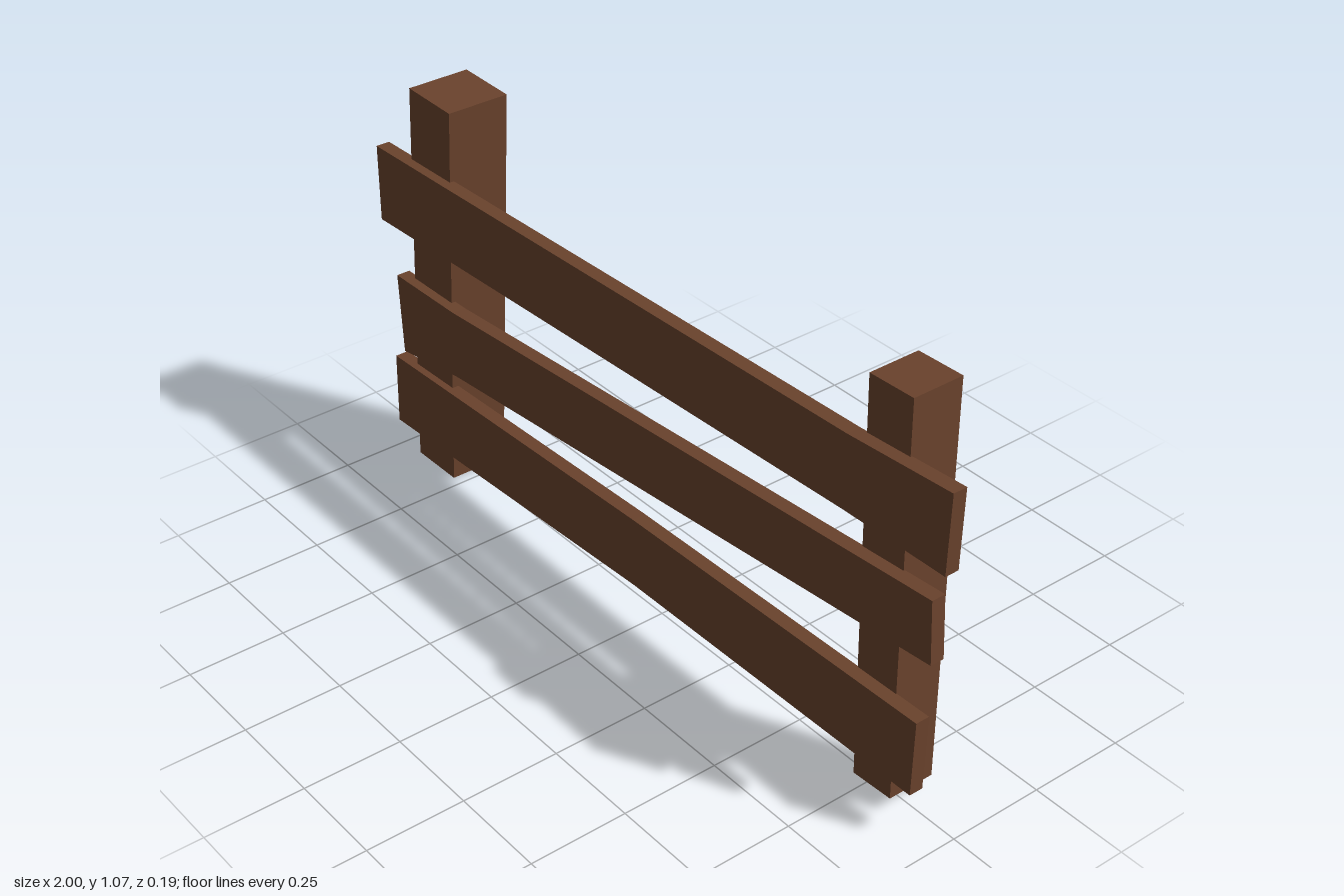
import * as THREE from 'three';

// Joins four-cornered sections (counter-clockwise seen from the far end) into a flat-faced bar.
function bar(sections, capStart) {
  const pos = [];
  const quad = (a, b, c, d) => pos.push(...a, ...b, ...c, ...a, ...c, ...d);
  for (let s = 0; s < sections.length - 1; s++) {
    const p = sections[s], q = sections[s + 1];
    for (let i = 0; i < 4; i++) {
      const j = (i + 1) % 4;
      quad(p[i], p[j], q[j], q[i]);
    }
  }
  quad(...sections[sections.length - 1]);
  if (capStart) quad(...[...sections[0]].reverse());
  const geo = new THREE.BufferGeometry();
  geo.setAttribute('position', new THREE.Float32BufferAttribute(pos, 3));
  geo.computeVertexNormals();
  return geo;
}

// Post section: left and right edges with their heights, then back and front z.
const postSection = (x0, y0, x1, y1, zb, zf) =>
  [[x0, y0, zf], [x1, y1, zf], [x1, y1, zb], [x0, y0, zb]];

// Board section: top and bottom edge points, front z, fixed thickness.
const boardSection = ([xt, yt, xb, yb, zf]) => {
  const zb = zf - 0.036;
  return [[xt, yt, zf], [xb, yb, zf], [xb, yb, zb], [xt, yt, zb]];
};

export function createModel() {
  const group = new THREE.Group();
  const wood = new THREE.MeshStandardMaterial({ color: 0x6b432d, side: THREE.DoubleSide });
  wood.name = 'brown wood';
  const add = (name, geo) => {
    const mesh = new THREE.Mesh(geo, wood);
    mesh.name = name;
    group.add(mesh);
  };

  // Posts, open underneath
  add('rightPost', bar([
    postSection(-0.933, 0.001, -0.778, 0.003, -0.09, 0.068),
    postSection(-0.875, 1.075, -0.709, 1.072, -0.095, 0.07),
  ], false));
  add('leftPost', bar([
    postSection(0.735, 0.033, 0.851, 0.039, -0.073, 0.05),
    postSection(0.721, 1.062, 0.848, 1.066, -0.078, 0.054),
  ], false));

  // Boards, each a slightly bent run of sections: top x, top y, bottom x, bottom y, front z
  const boards = {
    topBoard: [
      [-1, 0.88, -1, 0.677, 0.095],
      [-0.7, 0.887, -0.7, 0.688, 0.094],
      [0.7, 0.92, 0.7, 0.734, 0.086],
      [1, 0.938, 0.995, 0.736, 0.084],
    ],
    middleBoard: [
      [-0.945, 0.541, -0.932, 0.325, 0.095],
      [-0.7, 0.545, -0.7, 0.362, 0.094],
      [0.965, 0.659, 0.974, 0.5, 0.084],
    ],
    bottomBoard: [
      [-0.988, 0.28, -0.993, 0.081, 0.088],
      [0, 0.315, 0, 0.128, 0.086],
      [0.947, 0.331, 0.943, 0.132, 0.085],
    ],
  };
  for (const [name, rows] of Object.entries(boards)) add(name, bar(rows.map(boardSection), true));

  return group;
}
